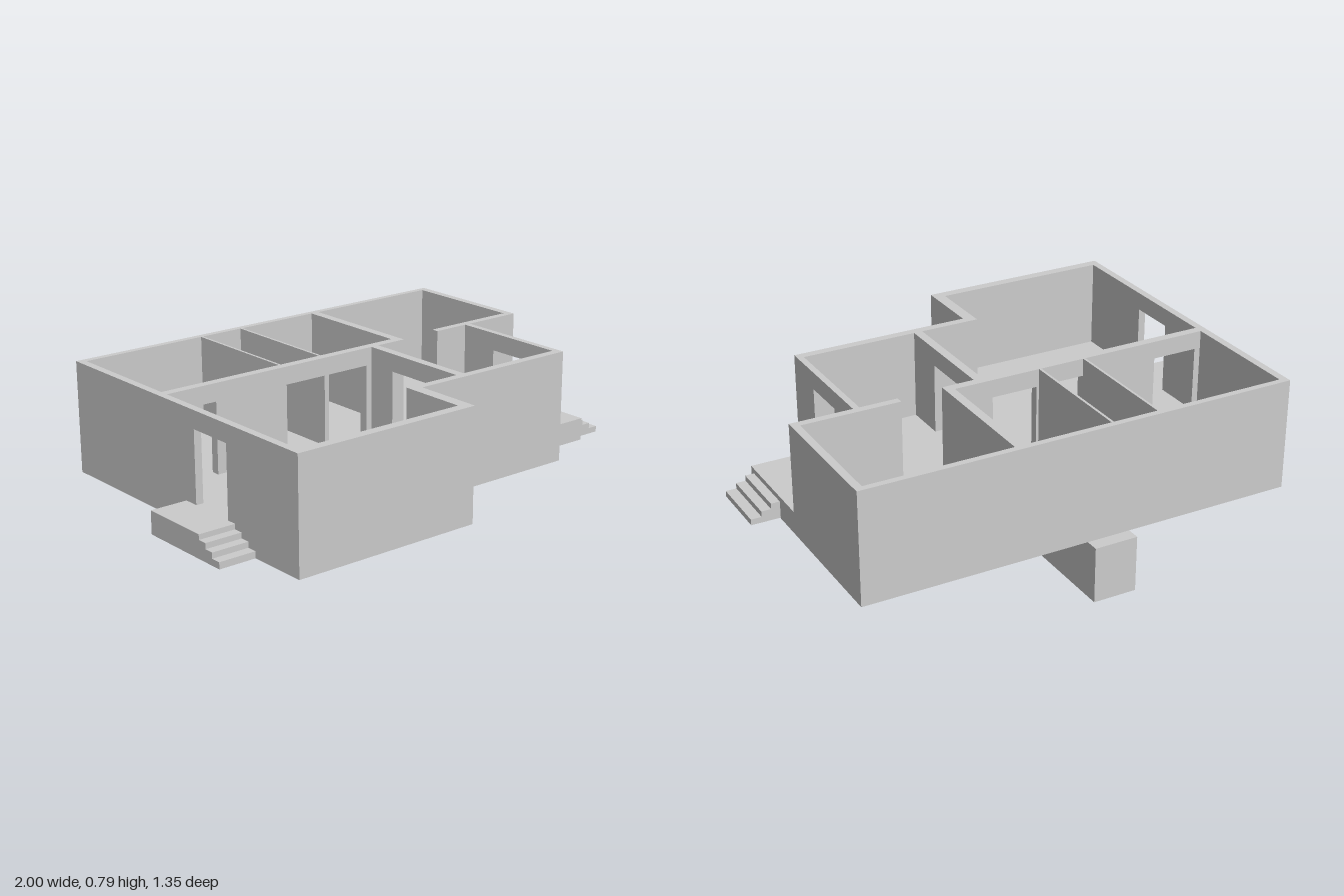
import * as THREE from 'three';

const BASE = 0.35, FLOOR = 0.44, DOOR = 0.72, TOP = 0.79;

export function createModel() {
  const house = new THREE.Group();
  house.name = 'house';
  const material = new THREE.MeshStandardMaterial({ color: 0xcccccc, flatShading: true });

  // Extrudes a profile. axis = direction of the profile's first coordinate
  // 'x': profile (x, y) pushed along z; 'z': profile (z, y) pushed along x;
  // 'plan': profile (x, z) pushed along y. from..to is the extruded range.
  function prism(name, axis, points, from, to) {
    const shape = new THREE.Shape(points.map(([u, v]) => new THREE.Vector2(u, v)));
    const geometry = new THREE.ExtrudeGeometry(shape, { depth: to - from, bevelEnabled: false });
    if (axis === 'x') geometry.translate(0, 0, from);
    if (axis === 'z') geometry.rotateY(-Math.PI / 2).translate(to, 0, 0);
    if (axis === 'plan') geometry.rotateX(Math.PI / 2).translate(0, to, 0);
    const mesh = new THREE.Mesh(geometry, material);
    mesh.name = name;
    house.add(mesh);
  }

  // Wall standing on the floor, with door notches cut from below
  function wall(name, axis, start, end, from, to, doors = []) {
    const points = [[start, TOP], [start, FLOOR]];
    for (const [a, b] of doors) points.push([a, FLOOR], [a, DOOR], [b, DOOR], [b, FLOOR]);
    points.push([end, FLOOR], [end, TOP]);
    prism(name, axis, points, from, to);
  }

  // Descending flight: edges are the step noses, heights the tread levels
  function flight(name, axis, edges, heights, bottom, from, to) {
    const points = [[edges[0], bottom]];
    heights.forEach((h, i) => points.push([edges[i], h], [edges[i + 1], h]));
    points.push([edges[edges.length - 1], bottom]);
    prism(name, axis, points, from, to);
  }

  // Floor slab including the right-hand porch, and the side landing
  prism('floorSlab', 'plan', [
    [-0.85, -0.675], [0.885, -0.675], [0.885, 0.28], [0.64, 0.28],
    [0.64, 0.4], [-0.075, 0.4], [-0.075, 0.675], [-0.85, 0.675],
  ], BASE, FLOOR);
  prism('sideLanding', 'plan', [[-1, 0.03], [-0.85, 0.03], [-0.85, 0.32], [-1, 0.32]], BASE, FLOOR);

  // Outer walls
  wall('backWall', 'x', -0.85, 0.885, -0.675, -0.65);
  wall('sideDoorWall', 'z', -0.65, 0.637, -0.85, -0.82, [[0.09, 0.28]]);
  wall('livingFrontWall', 'x', -0.85, -0.075, 0.637, 0.675);
  wall('livingSideWall', 'z', 0.4, 0.637, -0.12, -0.075);
  wall('hallFrontWall', 'x', -0.12, 0.64, 0.367, 0.4);
  wall('porchDoorWall', 'z', -0.12, 0.367, 0.615, 0.64, [[0.045, 0.23]]);
  wall('bedroomFrontWall', 'x', 0.465, 0.885, -0.15, -0.12);
  wall('bedroomSideWall', 'z', -0.65, -0.15, 0.855, 0.885);

  // Inner walls
  wall('corridorWall', 'x', -0.82, 0.285, -0.15, -0.115,
    [[-0.795, -0.61], [-0.29, -0.11], [-0.09, 0.095]]);
  wall('hallWall', 'z', -0.115, 0.367, 0.12, 0.155, [[0.01, 0.2]]);
  wall('bedroomPartition', 'z', -0.65, -0.15, 0.25, 0.285);
  wall('stairPartitionLeft', 'z', -0.65, -0.15, -0.11, -0.1);
  wall('stairPartitionRight', 'z', -0.65, -0.15, -0.3, -0.29);

  // Entrance steps at the porch and the side landing
  flight('porchSteps', 'x', [0.885, 0.92, 0.958, 1], [0.42, 0.398, 0.376], 0.353, 0.01, 0.255);
  flight('landingSteps', 'z', [0.32, 0.357, 0.395, 0.435], [0.42, 0.398, 0.376], BASE, -1, -0.85);

  // Cellar stair block below the slab, descending towards the back
  flight('cellarStairs', 'z', [-0.165, -0.305, -0.367, -0.432, -0.495, -0.557],
    [BASE, 0.34, 0.305, 0.267, 0.23], 0, -0.29, -0.11);

  return house;
}
